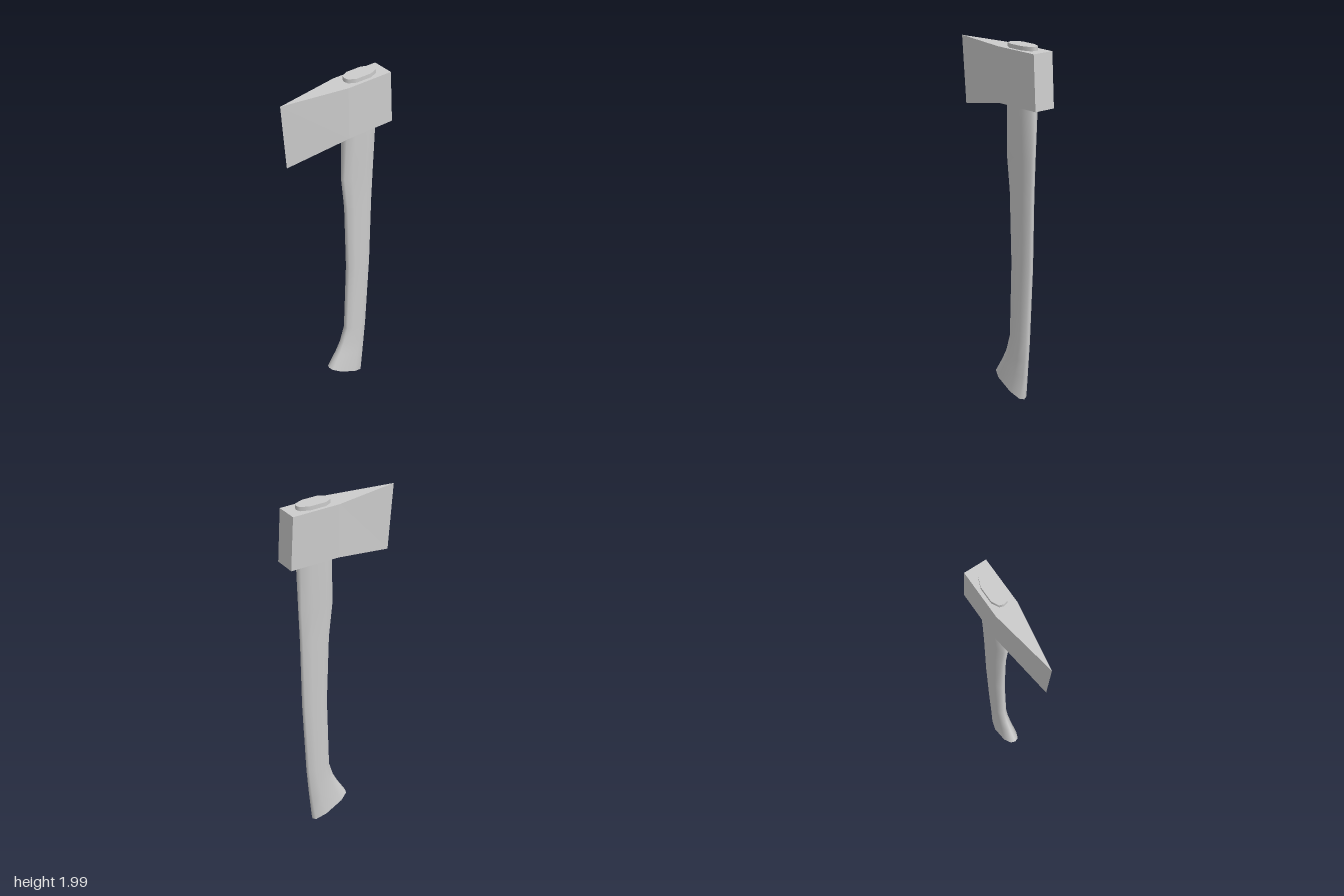
import * as THREE from 'three';

const material = new THREE.MeshStandardMaterial({ color: 0xcccccc });

function buildMesh(name, positions, indices) {
  const geometry = new THREE.BufferGeometry();
  geometry.setAttribute('position', new THREE.Float32BufferAttribute(positions, 3));
  geometry.setIndex(indices);
  geometry.computeVertexNormals();
  const mesh = new THREE.Mesh(geometry, material);
  mesh.name = name;
  return mesh;
}

// Handle: ten-sided oval sections from the flared knob up to the tenon.
// Each section: front z, front y, back z, back y, half width.
const handleSections = [
  [0.035, 0.124, -0.19, 0.01, 0.044],
  [-0.02, 0.215, -0.205, 0.15, 0.034],
  [-0.05, 0.275, -0.213, 0.24, 0.03],
  [-0.079, 0.37, -0.222, 0.36, 0.029],
  [-0.09, 0.8, -0.243, 0.8, 0.029],
  [-0.074, 1.2, -0.25, 1.2, 0.029],
  [-0.05, 1.4, -0.258, 1.4, 0.03],
  [-0.056, 1.65, -0.262, 1.65, 0.042],
  [-0.065, 2, -0.26, 2, 0.044],
];
// Oval outline: x as a fraction of half width, then -1 (back) to 1 (front).
const oval = [[0, 1], [0.55, 0.92], [1, 0.52], [1, -0.39], [0.55, -0.91],
  [0, -1], [-0.55, -0.91], [-1, -0.39], [-1, 0.52], [-0.55, 0.92]];

function createHandle() {
  const n = oval.length, positions = [], indices = [];
  const addRing = ([fz, fy, bz, by, w]) => {
    for (const [u, t] of oval) {
      const s = (t + 1) / 2;
      positions.push(u * w, by + (fy - by) * s, bz + (fz - bz) * s);
    }
  };
  handleSections.forEach(addRing);
  for (let r = 0; r < handleSections.length - 1; r++) {
    for (let k = 0; k < n; k++) {
      const a = r * n + k, b = r * n + (k + 1) % n;
      indices.push(a, b, b + n, a, b + n, a + n);
    }
  }
  // Flat end caps with their own vertices
  const bottom = positions.length / 3, top = bottom + n;
  addRing(handleSections[0]);
  addRing(handleSections[handleSections.length - 1]);
  for (let k = 1; k < n - 1; k++) {
    indices.push(bottom, bottom + k + 1, bottom + k);
    indices.push(top, top + k, top + k + 1);
  }
  return buildMesh('handle', positions, indices);
}

// Head: rectangular poll and cheek sections tapering to the cutting edge.
// Each section: half width, bottom y, bottom z, top y, top z.
const headSections = [
  [0.063, 1.685, -0.333, 1.978, -0.316],
  [0.063, 1.682, -0.05, 1.978, -0.043],
  [0, 1.608, 0.3, 1.977, 0.331],
];

function createHead() {
  const corners = headSections.map(([w, by, bz, ty, tz]) => [
    new THREE.Vector3(w, by, bz), new THREE.Vector3(w, ty, tz),
    new THREE.Vector3(-w, ty, tz), new THREE.Vector3(-w, by, bz),
  ]);
  const positions = [];
  // Separate vertices keep every face flat; collapsed triangles are skipped.
  const addTriangle = (a, b, c) => {
    if (new THREE.Triangle(a, b, c).getArea() < 1e-6) return;
    for (const p of [a, b, c]) positions.push(p.x, p.y, p.z);
  };
  for (let r = 0; r < 2; r++) {
    for (let k = 0; k < 4; k++) {
      const j = (k + 1) % 4, near = corners[r], far = corners[r + 1];
      addTriangle(near[k], near[j], far[j]);
      addTriangle(near[k], far[j], far[k]);
    }
  }
  const poll = corners[0];
  addTriangle(poll[0], poll[3], poll[2]);
  addTriangle(poll[0], poll[2], poll[1]);
  return buildMesh('axeHead', positions, [...Array(positions.length / 3).keys()]);
}

export function createModel() {
  const group = new THREE.Group();
  group.name = 'axe';
  group.add(createHandle(), createHead());
  // Rest the heel of the knob on the ground
  group.position.y = 0;
  group.children.forEach((part) => { part.position.y = -0.005; });
  return group;
}
